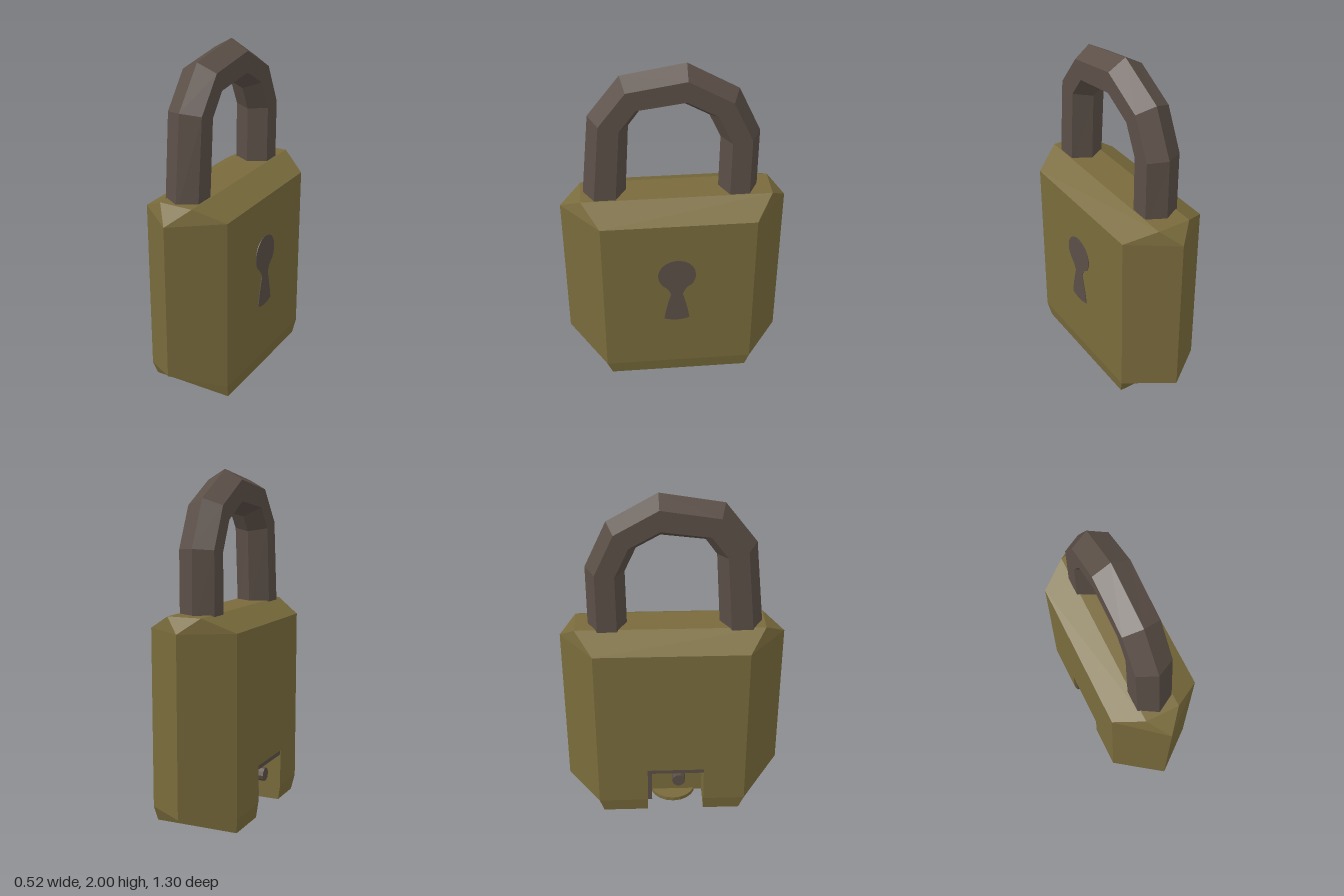
import * as THREE from 'three';

const brass = new THREE.MeshStandardMaterial({ color: 0x796b3c });
brass.name = 'aged brass';
const iron = new THREE.MeshStandardMaterial({ color: 0x5b4f47 });
iron.name = 'dark iron';
brass.flatShading = iron.flatShading = true;

// Flat convex faces, each turned to look away from (or towards) a centre point
function facesGeometry(faces, centre, inward = false) {
  const pos = [];
  for (const f of faces) {
    const p = f.map(a => new THREE.Vector3(...a));
    const mid = p.reduce((s, v) => s.add(v), new THREE.Vector3()).divideScalar(p.length);
    const n = new THREE.Vector3();
    p.forEach((v, i) => n.add(v.clone().cross(p[(i + 1) % p.length])));
    if ((n.dot(mid.sub(centre)) < 0) !== inward) p.reverse();
    for (let i = 1; i < p.length - 1; i++) for (const v of [p[0], p[i], p[i + 1]]) pos.push(v.x, v.y, v.z);
  }
  const g = new THREE.BufferGeometry();
  g.setAttribute('position', new THREE.Float32BufferAttribute(pos, 3));
  g.computeVertexNormals();
  return g;
}

function add(parent, name, geometry, material, x = 0, y = 0, z = 0) {
  const m = new THREE.Mesh(geometry, material);
  m.name = name;
  m.position.set(x, y, z);
  parent.add(m);
  return m;
}

const W = 0.26, BW = 0.247, LOW = 0.105, BASE = 0.02, SHOULDER = 1.135, TOP = 1.22;
const NZ0 = -0.16, NZ1 = 0.18, NTOP = 0.33, NX = -0.07; // notch limits

function bodyFaces() {
  const faces = [];
  // the two pointed ends
  const ends = [
    { tip: 0.65, side: 0.43, top: 0.53, base: 0.40, tipLow: 0.22 },
    { tip: -0.65, side: -0.455, top: -0.56, base: -0.43, tipLow: 0.13 },
  ];
  for (const e of ends) {
    const tipHi = [0, 1.14, e.tip], tipLo = [0, e.tipLow, e.tip];
    for (const s of [-1, 1]) {
      faces.push([tipLo, tipHi, [s * W, SHOULDER, e.side], [s * W, LOW, e.side]]);
      faces.push([tipHi, [s * W, SHOULDER, e.side], [s * 0.1, TOP, e.top]]);
    }
    faces.push([tipHi, [0.1, TOP, e.top], [-0.1, TOP, e.top]]);
    faces.push([tipLo, [W, LOW, e.side], [-W, LOW, e.side]]);
    faces.push([[W, LOW, e.side], [-W, LOW, e.side], [-BW, BASE, e.base], [BW, BASE, e.base]]);
  }
  const [f, b] = ends;
  // top and its sloping shoulders
  faces.push([[0.1, TOP, f.top], [0.1, TOP, b.top], [-0.1, TOP, b.top], [-0.1, TOP, f.top]]);
  for (const s of [-1, 1]) {
    faces.push([[s * 0.1, TOP, f.top], [s * 0.1, TOP, b.top], [s * W, SHOULDER, b.side], [s * W, SHOULDER, f.side]]);
  }
  // plain left side
  faces.push([[W, LOW, f.side], [W, LOW, b.side], [W, SHOULDER, b.side], [W, SHOULDER, f.side]]);
  faces.push([[W, LOW, f.side], [W, LOW, b.side], [BW, BASE, b.base], [BW, BASE, f.base]]);
  // right side and underside, left open around the notch
  faces.push([[-W, SHOULDER, NZ0], [-W, SHOULDER, NZ1], [-W, NTOP, NZ1], [-W, NTOP, NZ0]]);
  for (const [e, z] of [[f, NZ1], [b, NZ0]]) {
    faces.push([[-W, LOW, e.side], [-W, SHOULDER, e.side], [-W, SHOULDER, z], [-W, LOW, z]]);
    faces.push([[-W, LOW, e.side], [-W, LOW, z], [-BW, BASE, z], [-BW, BASE, e.base]]);
    faces.push([[-BW, BASE, e.base], [BW, BASE, e.base], [BW, BASE, z], [-BW, BASE, z]]);
  }
  faces.push([[NX, BASE, NZ0], [NX, BASE, NZ1], [BW, BASE, NZ1], [BW, BASE, NZ0]]);
  return faces;
}

function notchFaces() {
  const faces = [NZ0, NZ1].map(z => [[NX, BASE, z], [NX, NTOP, z], [-W, NTOP, z], [-W, LOW, z], [-BW, BASE, z]]);
  faces.push([[NX, BASE, NZ0], [NX, BASE, NZ1], [NX, NTOP, NZ1], [NX, NTOP, NZ0]]);
  faces.push([[NX, NTOP, NZ0], [NX, NTOP, NZ1], [-W, NTOP, NZ1], [-W, NTOP, NZ0]]);
  return faces;
}

// Six-sided bar through stations of [outer z, outer y, inner z, inner y]
function shackleGeometry() {
  const stations = [
    [0.523, 1.14, 0.275, 1.14], [0.465, 1.71, 0.245, 1.64], [0.285, 1.94, 0.18, 1.73],
    [-0.075, 2.0, -0.065, 1.76], [-0.36, 1.84, -0.2, 1.685], [-0.485, 1.575, -0.265, 1.545],
    [-0.485, 1.14, -0.26, 1.14],
  ];
  const pos = [], index = [];
  stations.forEach(([oz, oy, iz, iy], k) => {
    for (let j = 0; j < 6; j++) {
      const a = j * Math.PI / 3, t = (1 + Math.cos(a)) / 2;
      pos.push(-0.01 + 0.121 * Math.sin(a), iy + (oy - iy) * t, iz + (oz - iz) * t);
      if (k === 0) continue;
      const p = (k - 1) * 6 + j, q = (k - 1) * 6 + (j + 1) % 6;
      index.push(p, q, q + 6, p, q + 6, p + 6);
    }
  });
  const g = new THREE.BufferGeometry();
  g.setAttribute('position', new THREE.Float32BufferAttribute(pos, 3));
  g.setIndex(index);
  g.computeVertexNormals();
  return g;
}

function keyholeGeometry() {
  const s = new THREE.Shape();
  s.moveTo(-0.075, 0.46);
  s.quadraticCurveTo(0, 0.43, 0.075, 0.46);
  s.quadraticCurveTo(0.06, 0.56, 0.035, 0.64);
  s.quadraticCurveTo(0.04, 0.68, 0.075, 0.71);
  s.absarc(0, 0.785, 0.11, -0.75, Math.PI + 0.75, false);
  s.quadraticCurveTo(-0.04, 0.68, -0.035, 0.64);
  s.quadraticCurveTo(-0.06, 0.56, -0.075, 0.46);
  return new THREE.ExtrudeGeometry(s, { depth: 0.006, bevelEnabled: false, curveSegments: 12 }).rotateY(Math.PI / 2);
}

export function createModel() {
  const model = new THREE.Group();
  model.name = 'padlock';

  add(model, 'body', facesGeometry(bodyFaces(), new THREE.Vector3(0, 0.6, 0)), brass);
  add(model, 'notch', facesGeometry(notchFaces(), new THREE.Vector3(-0.16, 0.16, 0.01), true), brass);
  add(model, 'shackle', shackleGeometry(), iron);
  add(model, 'keyhole', keyholeGeometry(), iron, W - 0.002);

  // round lock core in the underside
  add(model, 'coreRim', new THREE.CylinderGeometry(0.14, 0.14, 0.024, 20), brass, -0.02, 0.016, 0);
  add(model, 'coreFace', new THREE.CylinderGeometry(0.125, 0.125, 0.02, 20), iron, -0.02, 0.01, 0);

  // latch parts inside the notch
  add(model, 'latchBar', new THREE.BoxGeometry(0.05, 0.025, NZ1 - NZ0), iron, -0.232, NTOP - 0.014, 0.01);
  add(model, 'latchPlate', new THREE.BoxGeometry(0.12, 0.2, 0.025), iron, -0.19, 0.2, NZ0 + 0.014);
  const pin = add(model, 'latchPin', new THREE.CylinderGeometry(0.04, 0.04, 0.16, 10), iron, -0.145, 0.22, 0.03);
  pin.rotation.z = Math.PI / 2;

  return model;
}
